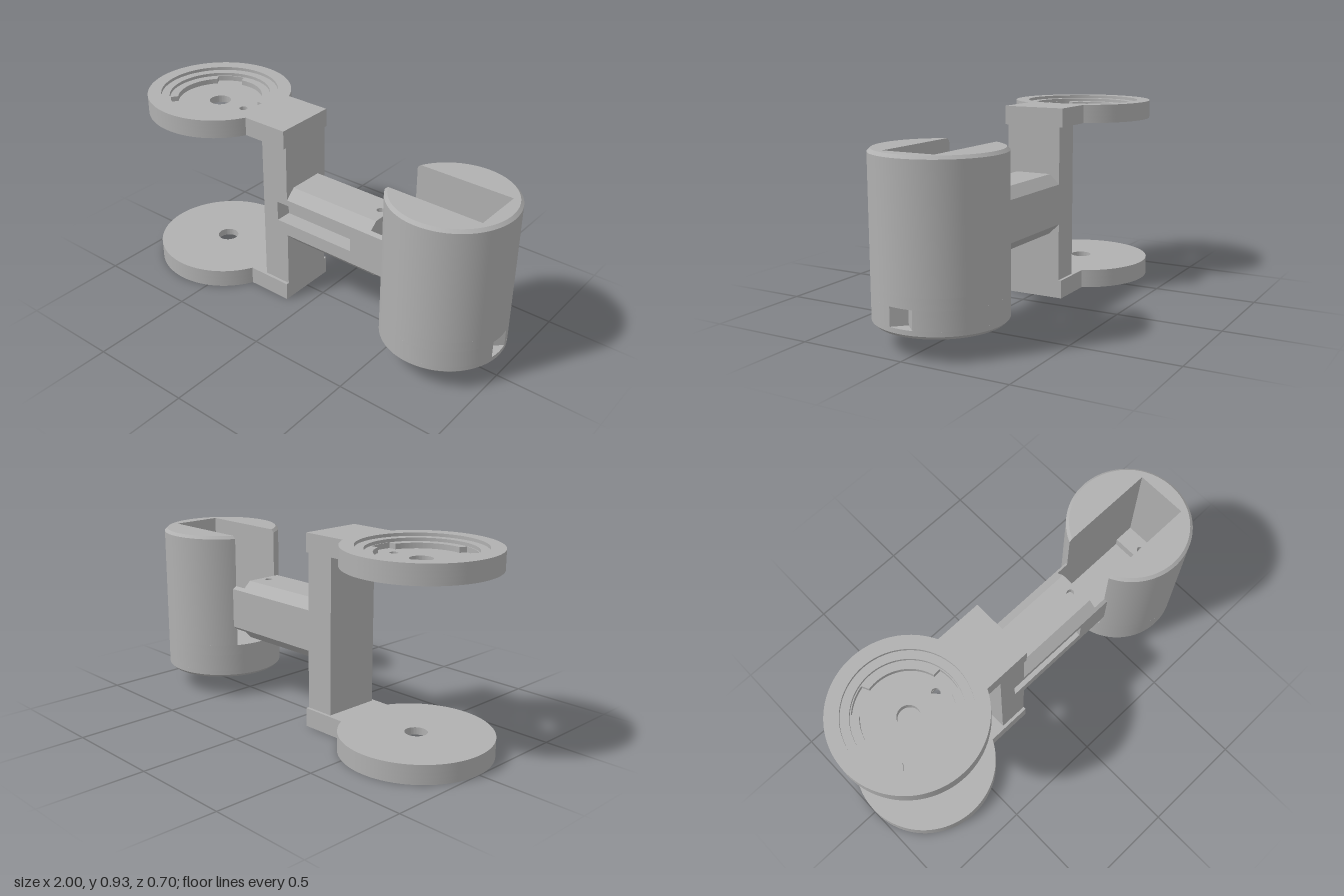
import * as THREE from 'three';
import { toCreasedNormals } from 'three/addons/utils/BufferGeometryUtils.js';

const grey = new THREE.MeshStandardMaterial({ color: 0xb0b0b0 });
grey.name = 'plain grey';

function add(parent, name, geometry) {
  const mesh = new THREE.Mesh(toCreasedNormals(geometry, 0.45), grey);
  mesh.name = name;
  parent.add(mesh);
  return mesh;
}

function polygon(points) {
  return new THREE.Shape(points.map(([x, y]) => new THREE.Vector2(x, y)));
}

function circle(x, y, r) {
  return new THREE.Path().absarc(x, y, r, 0, Math.PI * 2, false);
}

function extrude(shape, depth, holes = []) {
  shape.holes.push(...holes);
  return new THREE.ExtrudeGeometry(shape, { depth, bevelEnabled: false, curveSegments: 48 });
}

// Plan outline raised from y0 to y1
function layer(shape, y0, y1, holes) {
  return extrude(shape, y1 - y0, holes).rotateX(-Math.PI / 2).translate(0, y0, 0);
}

// Cross-section given as [z, y], run along x
function along(section, x0, x1) {
  return extrude(polygon(section.map(([z, y]) => [-z, y])), x1 - x0)
    .rotateY(Math.PI / 2).translate(x0, 0, 0);
}

// ---- Round mounting plates ----
const DISC_X = -0.65;

function plateOutline() {
  const a = Math.asin(0.155 / 0.35);
  const s = new THREE.Shape();
  s.absarc(0, 0, 0.35, a, Math.PI * 2 - a, false);
  s.lineTo(0.545, -0.155);
  s.lineTo(0.545, 0.155);
  return s;
}

// Inner lip opening with three locking notches
function notchedOpening() {
  const points = [];
  for (let i = 0; i < 180; i++) {
    const deg = i * 2;
    const off = Math.abs(deg > 180 ? deg - 360 : deg);
    const r = off < 15 || (off > 103 && off < 138) ? 0.24 : 0.205;
    const t = deg * Math.PI / 180;
    points.push(new THREE.Vector2(r * Math.cos(t), r * Math.sin(t)));
  }
  return new THREE.Path(points);
}

function plate(name, wired) {
  const g = new THREE.Group();
  g.name = name;
  const bore = () => circle(0, 0, 0.052);
  if (wired) {
    // Cable groove under the floor, met by a small hole
    const groove = polygon([[0.07, -0.018], [0.25, -0.018], [0.25, 0.018], [0.07, 0.018]]);
    add(g, 'plateUnderside', layer(plateOutline(), 0, 0.015, [bore(), groove]));
    add(g, 'plateFloor', layer(plateOutline(), 0.015, 0.035, [bore(), circle(0.155, 0, 0.02)]));
  } else {
    add(g, 'plateFloor', layer(plateOutline(), 0, 0.035, [bore()]));
  }
  add(g, 'lockingLip', layer(plateOutline(), 0.035, 0.06, [notchedOpening()]));
  add(g, 'innerRim', layer(plateOutline(), 0.06, 0.075, [circle(0, 0, 0.245)]));
  add(g, 'outerRim', layer(plateOutline(), 0.075, 0.09, [circle(0, 0, 0.285)]));
  return g;
}

// ---- Slotted round housing ----
const R = 0.293, BEVEL = 0.014, SLOT = 0.125, SLOT_END = 0.215;

function slottedOutline() {
  const b = Math.PI - Math.asin(SLOT / R);
  const s = new THREE.Shape();
  s.absarc(0, 0, R, -b, b, false);
  s.lineTo(SLOT_END, SLOT);
  s.lineTo(SLOT_END, -SLOT);
  return s;
}

function windowOutline() {
  const a = Math.asin(0.055 / R);
  const s = new THREE.Shape();
  s.absarc(0, 0, R, a, Math.PI * 2 - a, false);
  s.lineTo(0.235, 0);
  return s;
}

const roundOutline = () => new THREE.Shape().absarc(0, 0, R, 0, Math.PI * 2, false);

// Draw in the outer edge at one height to make the bevel
function bevelAt(geometry, y) {
  const p = geometry.attributes.position;
  for (let i = 0; i < p.count; i++) {
    const x = p.getX(i), z = p.getZ(i), r = Math.hypot(x, z);
    if (Math.abs(p.getY(i) - y) < 1e-4 && r > R - 1e-3) {
      const k = (R - BEVEL) / R;
      const onSlot = x < 0 && Math.abs(Math.abs(z) - SLOT) < 1e-4;
      const nz = onSlot ? z : z * k;
      p.setXYZ(i, onSlot ? -Math.sqrt((R - BEVEL) ** 2 - z * z) : x * k, y, nz);
    }
  }
  return geometry;
}

function housing() {
  const g = new THREE.Group();
  g.name = 'housing';
  g.position.x = 0.705;
  const drain = () => circle(0, 0, 0.03);
  add(g, 'bottomBevel', bevelAt(layer(roundOutline(), 0.1, 0.114, [drain()]), 0.1));
  add(g, 'base', layer(roundOutline(), 0.114, 0.135, [drain()]));
  add(g, 'windowBand', layer(windowOutline(), 0.135, 0.22, [drain()]));
  add(g, 'slotFloor', layer(roundOutline(), 0.22, 0.27));
  add(g, 'slottedWall', layer(slottedOutline(), 0.27, 0.818));
  add(g, 'topBevel', bevelAt(layer(slottedOutline(), 0.818, 0.832), 0.832));
  // Ledge with a pin hole at the closed end of the slot
  const ledge = polygon([[0.115, -SLOT], [SLOT_END, -SLOT], [SLOT_END, SLOT], [0.115, SLOT]]);
  add(g, 'slotLedge', layer(ledge, 0.27, 0.32, [circle(0.16, 0, 0.018)]));
  return g;
}

// ---- Eight-sided beam, with room for the top strip and the side pocket ----
function beamSection(pocket) {
  const recess = pocket ? [[0.14, 0.435], [0.06, 0.435], [0.06, 0.535], [0.14, 0.535]] : [];
  return [
    [-0.09, 0.32], [0.09, 0.32], [0.14, 0.37], ...recess, [0.14, 0.565], [0.09, 0.612],
    [0.09, 0.58], [-0.09, 0.58], [-0.09, 0.612], [-0.14, 0.565], [-0.14, 0.37],
  ];
}

export function createModel() {
  const model = new THREE.Group();
  model.name = 'bracketWithHousing';

  const upper = plate('upperPlate', true);
  upper.position.set(DISC_X, 0.84, 0);
  const lower = plate('lowerPlate', false);
  lower.position.set(DISC_X, 0.09, 0);
  lower.rotation.x = Math.PI;
  model.add(upper, lower);

  // Post, its front layer notched for the pocket
  add(model, 'postBack', new THREE.BoxGeometry(0.145, 0.75, 0.2).translate(-0.1775, 0.465, -0.04));
  const front = polygon([
    [-0.25, 0.09], [-0.105, 0.09], [-0.105, 0.435], [-0.165, 0.435],
    [-0.165, 0.535], [-0.105, 0.535], [-0.105, 0.84], [-0.25, 0.84],
  ]);
  add(model, 'postFront', extrude(front, 0.08).translate(0, 0, 0.06));

  // Beam and its top strip with a pin hole
  add(model, 'beamWithPocket', along(beamSection(true), -0.105, 0.27));
  add(model, 'beamEnd', along(beamSection(false), 0.27, 0.375));
  const strip = polygon([[-0.105, -0.09], [0.375, -0.09], [0.375, 0.09], [-0.105, 0.09]]);
  add(model, 'beamTopStrip', layer(strip, 0.58, 0.612, [circle(0.335, 0, 0.018)]));

  // Thin cheeks joining beam and housing
  const cheek = [[0.125, 0.355], [0.14, 0.37], [0.14, 0.565], [0.125, 0.579]];
  add(model, 'frontCheek', along(cheek, 0.375, 0.45));
  add(model, 'backCheek', along(cheek.map(([z, y]) => [-z, y]), 0.375, 0.45));

  model.add(housing());
  return model;
}
